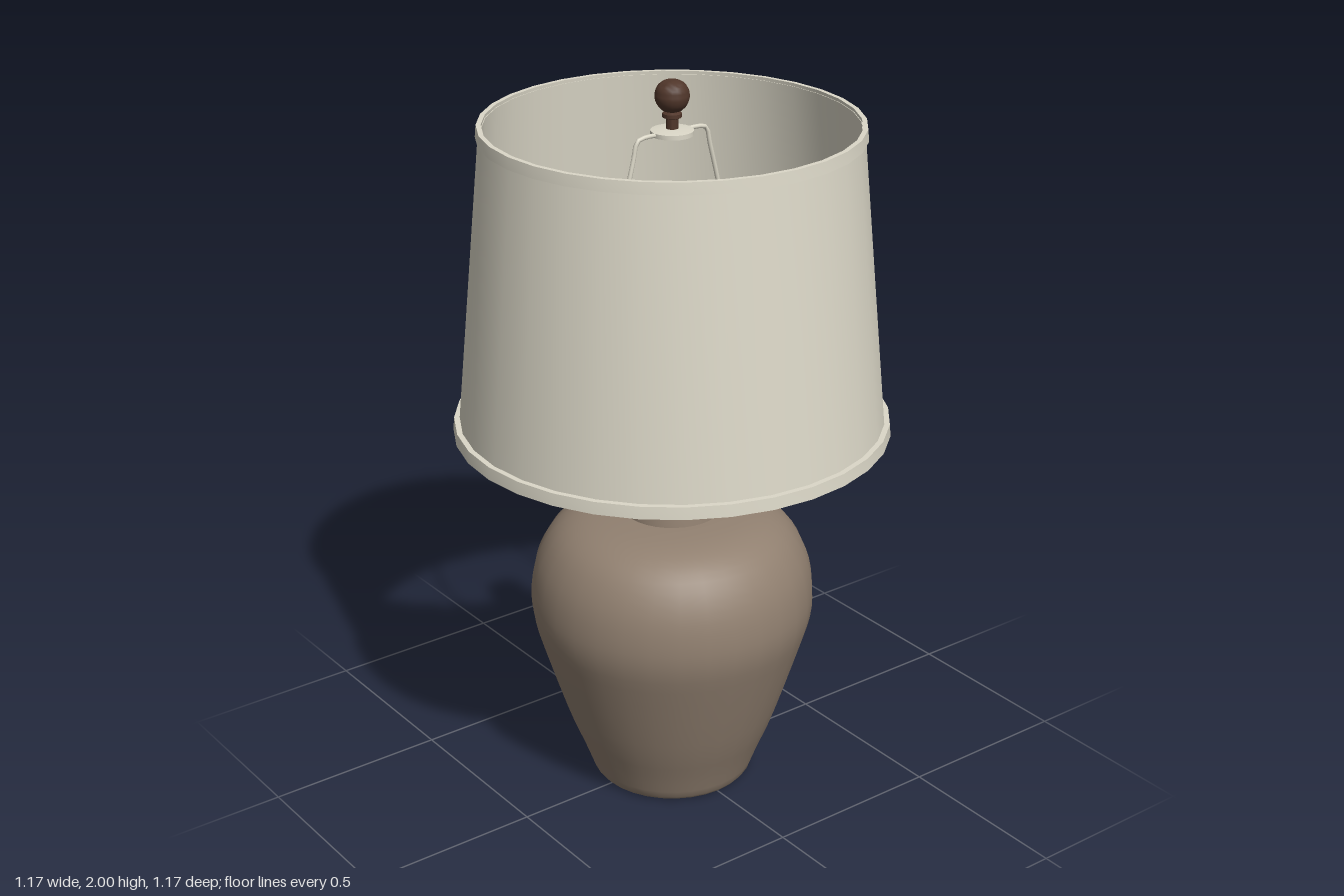
import * as THREE from 'three';
import { toCreasedNormals } from 'three/addons/utils/BufferGeometryUtils.js';

const material = (name, color) => {
  const m = new THREE.MeshStandardMaterial({ color });
  m.name = name;
  return m;
};

// Revolve [radius, height] pairs, listed bottom to top on the outside
function turned(name, profile, mat, segments = 32) {
  const points = profile.map(([r, y]) => new THREE.Vector2(r, y));
  const mesh = new THREE.Mesh(toCreasedNormals(new THREE.LatheGeometry(points, segments), 0.6), mat);
  mesh.name = name;
  return mesh;
}

// Smooth a few profile points into a curve
const smooth = (profile, n) =>
  new THREE.SplineCurve(profile.map(([r, y]) => new THREE.Vector2(r, y)))
    .getPoints(n).map((p) => [p.x, p.y]);

export function createModel() {
  const lamp = new THREE.Group();
  lamp.name = 'tableLamp';
  const ceramic = material('taupe ceramic', 0x918070);
  const linen = material('cream linen', 0xdcd8c8);
  const black = material('black plastic', 0x0c0c0d);
  const wood = material('dark wood', 0x50362a);

  // Jar-shaped base
  lamp.add(turned('base', [
    [0, 0], [0.205, 0], [0.216, 0.004],
    ...smooth([[0.224, 0.014], [0.252, 0.09], [0.295, 0.2], [0.359, 0.4], [0.386, 0.5], [0.388, 0.58],
      [0.372, 0.66], [0.335, 0.73], [0.285, 0.773], [0.22, 0.796], [0.135, 0.806]], 28),
    [0, 0.806],
  ], ceramic));

  // Tapered collar and pole
  lamp.add(turned('collar', [
    [0.136, 0.8], [0.134, 0.815], [0.113, 0.965], [0.107, 0.978], [0.09, 0.986], [0.06, 0.991], [0, 0.991],
  ], ceramic));
  lamp.add(turned('pole', [[0.033, 0.98], [0.033, 1.15], [0, 1.15]], ceramic, 20));

  // Bulb socket with side switch
  lamp.add(turned('socket', [
    [0, 1.13], [0.045, 1.13], [0.045, 1.17], [0.06, 1.18], [0.083, 1.21], [0.085, 1.26], [0.075, 1.27],
    [0.075, 1.29], [0.06, 1.3], [0.06, 1.39], [0.052, 1.4], [0, 1.4],
  ], black, 24));
  const socketSwitch = new THREE.Group();
  socketSwitch.name = 'socketSwitch';
  for (const [radius, length, x] of [[0.012, 0.06, 0.09], [0.02, 0.022, 0.122]]) {
    const part = new THREE.Mesh(new THREE.CylinderGeometry(radius, radius, length, 12), black);
    part.name = radius < 0.015 ? 'switchStem' : 'switchKnob';
    part.rotation.z = Math.PI / 2;
    part.position.set(x, 1.225, 0);
    socketSwitch.add(part);
  }
  lamp.add(socketSwitch);

  // Wire harp: mirrored side bows joined by a flat top
  const half = [[0.04, 1.185], [0.09, 1.2], [0.14, 1.28], [0.178, 1.42], [0.178, 1.55], [0.155, 1.68],
    [0.122, 1.81], [0.11, 1.855], [0.09, 1.862], [0.03, 1.862]];
  const path = [
    ...half.map(([x, y]) => new THREE.Vector3(x, y, 0)),
    ...half.slice().reverse().map(([x, y]) => new THREE.Vector3(-x, y, 0)),
  ];
  const harp = new THREE.Mesh(
    new THREE.TubeGeometry(new THREE.CatmullRomCurve3(path), 96, 0.006, 8), linen);
  harp.name = 'harp';
  lamp.add(harp);
  lamp.add(turned('harpCap', [[0, 1.856], [0.056, 1.856], [0.056, 1.868], [0, 1.874]], linen, 24));

  // Finial
  lamp.add(turned('finial', [
    [0.016, 1.868], [0.016, 1.898], [0.025, 1.902], [0.025, 1.912], [0.017, 1.917],
    ...smooth([[0.025, 1.92], [0.039, 1.935], [0.045, 1.957], [0.039, 1.98], [0.022, 1.995], [0, 2]], 14),
  ], wood, 20));

  // Open tapered shade with trim bands
  lamp.add(turned('shade', [
    [0.56, 1.055], [0.57, 1.055], [0.491, 1.88], [0.483, 1.88], [0.56, 1.055],
  ], linen));
  const band = (name, r0, r1, y0, y1, thickness) => lamp.add(turned(name, [
    [r0 - thickness, y0], [r0, y0], [r1, y1], [r1 - thickness, y1], [r0 - thickness, y0],
  ], linen));
  band('bottomTrim', 0.585, 0.582, 1.052, 1.085, 0.022);
  band('topTrim', 0.5, 0.497, 1.858, 1.889, 0.013);

  return lamp;
}
